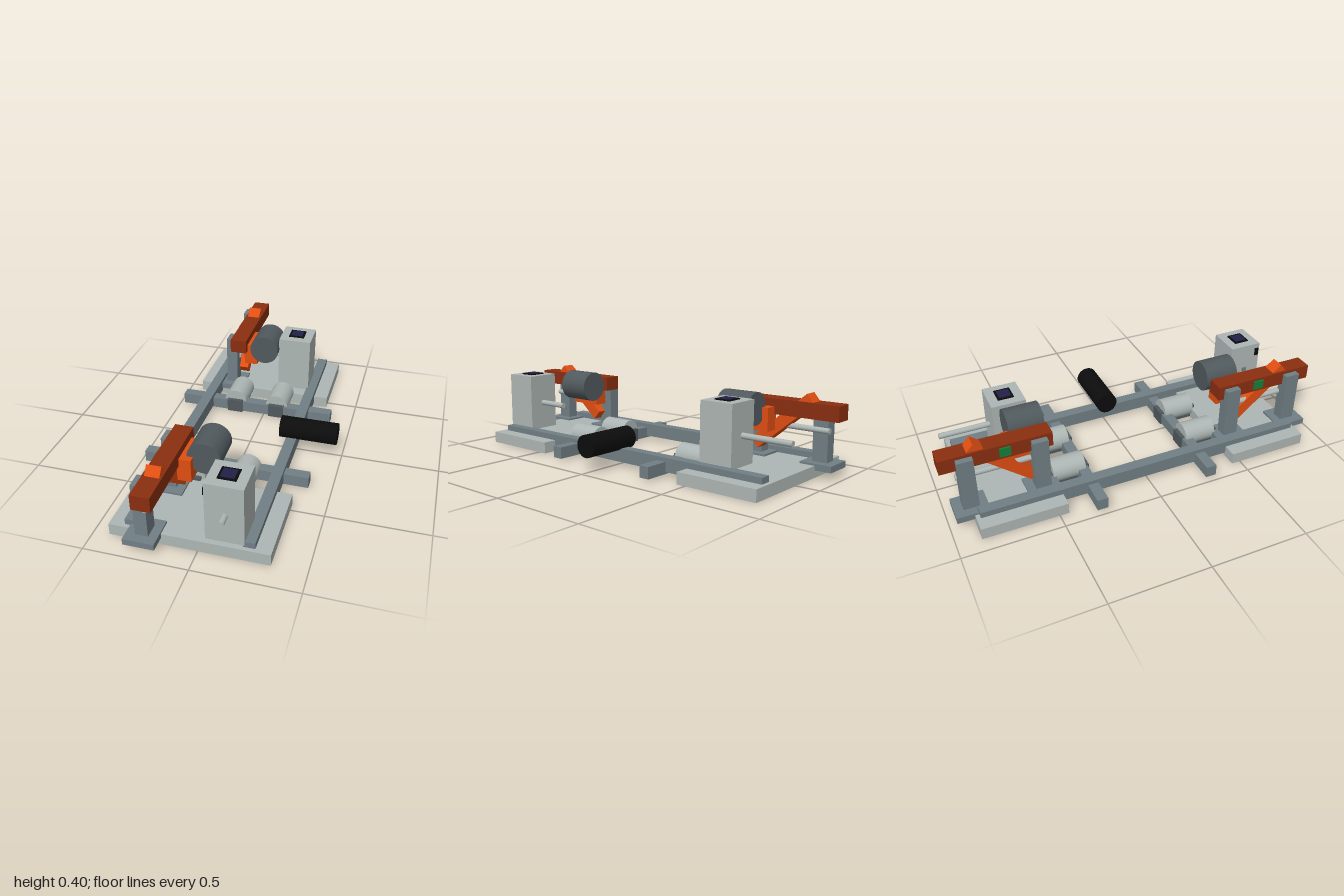
import * as THREE from 'three';

const mat = (name, color, doubleSide) => {
  const m = new THREE.MeshStandardMaterial({ color });
  m.name = name;
  return m;
};

export function createModel() {
  const paleGrey = mat('paleGrey', 0xadb6b4);
  const steel = mat('steel', 0x717f85);
  const darkGrey = mat('darkGrey', 0x50595d);
  const rust = mat('rust', 0x8a2e10);
  const orange = mat('orange', 0xe04e12);
  const black = mat('black', 0x0c0c0c);
  const navy = mat('navy', 0x22204a);
  const green = mat('green', 0x12803a);

  const model = new THREE.Group();
  model.name = 'testRig';

  // Box from its limits on each axis
  const box = (name, m, [x0, x1], [y0, y1], [z0, z1], parent = model) => {
    const mesh = new THREE.Mesh(new THREE.BoxGeometry(x1 - x0, y1 - y0, z1 - z0), m);
    mesh.position.set((x0 + x1) / 2, (y0 + y1) / 2, (z0 + z1) / 2);
    mesh.name = name;
    parent.add(mesh);
    return mesh;
  };
  // Cylinder lying along z
  const rod = (name, m, r, x, y, [z0, z1], parent = model) => {
    const geo = new THREE.CylinderGeometry(r, r, z1 - z0, 32).rotateX(Math.PI / 2);
    const mesh = new THREE.Mesh(geo, m);
    mesh.position.set(x, y, (z0 + z1) / 2);
    mesh.name = name;
    parent.add(mesh);
    return mesh;
  };

  // Long side rails
  box('rightRail', steel, [-0.35, -0.295], [0.02, 0.09], [-0.86, 0.86]);
  box('leftRail', steel, [0.205, 0.26], [0.02, 0.09], [-0.86, 0.86]);

  // Black roller across the left rail
  const roller = new THREE.Mesh(
    new THREE.CylinderGeometry(0.057, 0.057, 0.3, 32).rotateZ(Math.PI / 2), black);
  roller.position.set(0.32, 0.132, 0);
  roller.name = 'roller';
  model.add(roller);

  for (const s of [1, -1]) {
    const station = new THREE.Group();
    station.name = s > 0 ? 'frontStation' : 'backStation';
    model.add(station);
    // z limits given for the front station, mirrored for the back
    const z = (a, b) => (s > 0 ? [a, b] : [-b, -a]);
    const b = (name, m, xs, ys, zs) => box(name, m, xs, ys, z(...zs), station);
    const c = (name, m, r, x, y, zs) => rod(name, m, r, x, y, z(...zs), station);

    b('basePlate', paleGrey, [-0.423, 0.335], [0, 0.06], [0.453, 0.88]);
    b('crossBeam', steel, [-0.473, 0.385], [0.01, 0.07], [0.27, 0.325]);

    // Motors on dark mounting blocks
    for (const x of [-0.165, 0.075]) {
      c('motor', paleGrey, 0.062, x, 0.066, [0.285, 0.455]);
      b('motorMount', darkGrey, [x - 0.043, x + 0.043], [0.005, 0.076], [0.263, 0.475]);
    }

    // Posts with feet
    for (const zc of [0.523, 0.882]) {
      b('post', steel, [-0.275, -0.213], [0.03, 0.345], [zc - 0.039, zc + 0.039]);
      b('postFoot', steel, [-0.32, -0.17], [0.038, 0.07], [zc - 0.081, zc + 0.083]);
    }

    // Beam with its slanted arm, bracket and indicator
    b('topBeam', rust, [-0.243, -0.152], [0.284, 0.36], [0.453, 1]);
    const arm = b('slantedArm', orange, [-0.232, -0.162], [0.225, 0.285], [0.505, 0.895]);
    arm.position.set(-0.197, 0.251, s * 0.7);
    arm.rotation.x = -s * THREE.MathUtils.degToRad(40);
    b('sideBracket', orange, [-0.168, -0.094], [0.205, 0.322], [0.485, 0.665]);
    b('indicator', green, [-0.252, -0.243], [0.3, 0.347], [0.66, 0.715]);

    c('drum', darkGrey, 0.081, -0.044, 0.32, [0.452, 0.632]);
    c('towerRod', paleGrey, 0.0145, 0.127, 0.225, [0.525, 0.928]);
    c('postRod', paleGrey, 0.0145, -0.216, 0.225, [0.525, 0.928]);

    // Control tower, offset differently at each end
    const tower = new THREE.Group();
    tower.name = 'controlTower';
    tower.position.z = s > 0 ? 0.783 : -0.58;
    station.add(tower);
    box('cabinet', paleGrey, [0.035, 0.214], [0.078, 0.382], [-0.088, 0.088], tower);
    box('screenFrame', black, [0.081, 0.167], [0.382, 0.388], [-0.041, 0.041], tower);
    box('screen', navy, [0.092, 0.156], [0.388, 0.39], [-0.031, 0.031], tower);
    box('upperSocket', black, [0.028, 0.035], [0.313, 0.355], [0.06, 0.08], tower);
    box('lowerSocket', black, [0.028, 0.035], [0.088, 0.13], [-0.07, -0.05], tower);
    box('sideKnob', steel, [0.028, 0.035], [0.222, 0.247], [-0.012, 0.012], tower);
  }
  return model;
}
